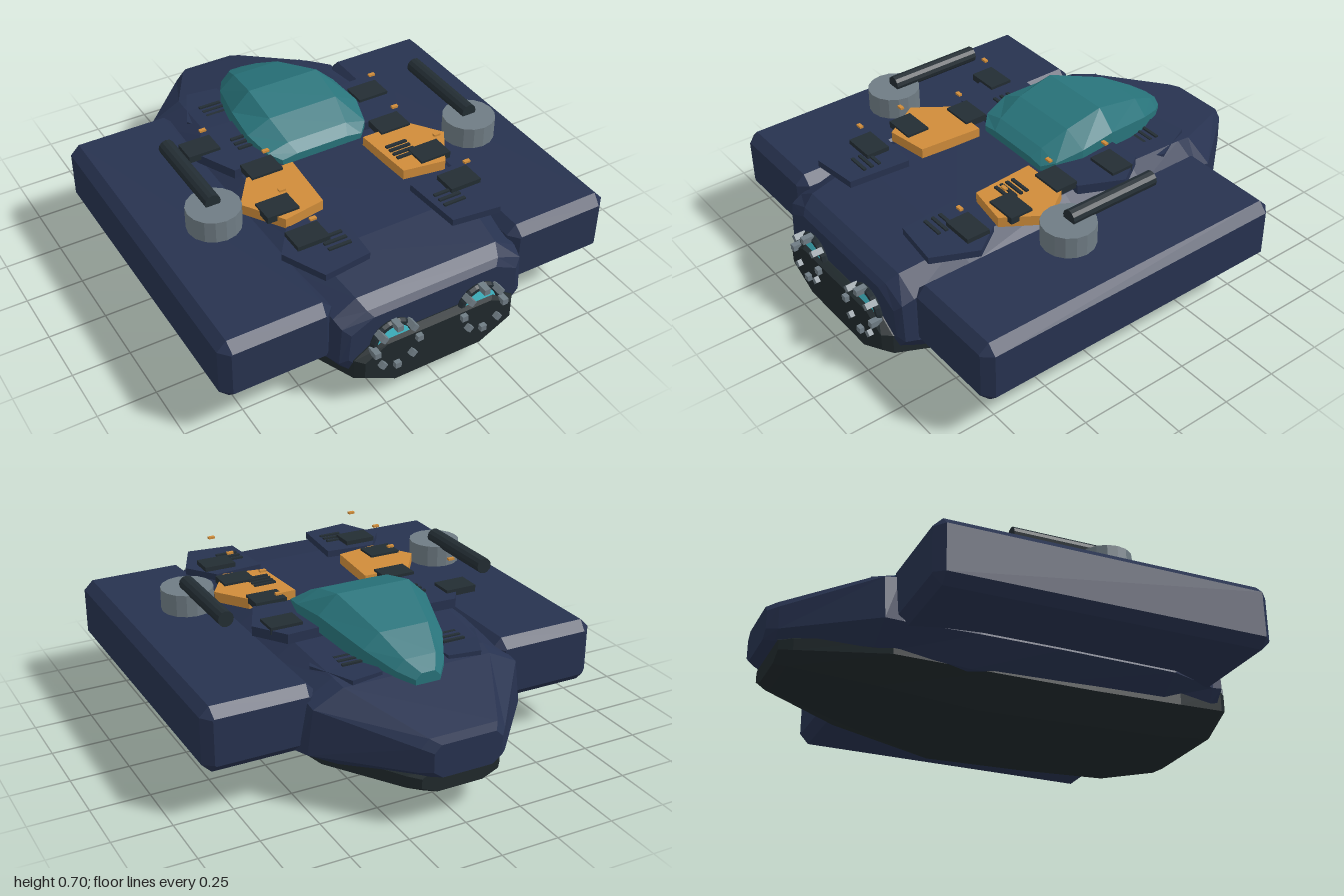
import * as THREE from 'three';

const mat = (name, color) => {
  const m = new THREE.MeshStandardMaterial({ color, flatShading: true });
  m.name = name;
  return m;
};

// Lofts mirrored half profiles ([x, y] from bottom to top) along z, with capped ends
function loft(sections) {
  const pos = [], idx = [];
  const n = sections[0].half.length * 2;
  for (const { z, half } of sections) {
    const ring = [...half, ...half.slice().reverse().map(([x, y]) => [-x, y])];
    for (const [x, y] of ring) pos.push(x, y, z);
  }
  const last = (sections.length - 1) * n;
  for (let s = 0; s < last; s += n) {
    for (let j = 0; j < n; j++) {
      const k = (j + 1) % n;
      idx.push(s + j, s + k, s + n + j, s + k, s + n + k, s + n + j);
    }
  }
  for (let j = 1; j < n - 1; j++) {
    idx.push(0, j + 1, j, last, last + j, last + j + 1);
  }
  const g = new THREE.BufferGeometry();
  g.setAttribute('position', new THREE.Float32BufferAttribute(pos, 3));
  g.setIndex(idx);
  const flat = g.toNonIndexed();
  flat.computeVertexNormals();
  return flat;
}

export function createModel() {
  const root = new THREE.Group();
  root.name = 'spacecraft';
  const navy = mat('navy hull', 0x27324f);
  const belly = mat('dark belly', 0x20292c);
  const dark = mat('dark fittings', 0x232d33);
  const grey = mat('grey metal', 0x6f7c84);
  const teal = mat('teal canopy', 0x28737a);
  const orange = mat('orange panel', 0xcf8c3a);
  const cyan = mat('cyan glow', 0x45c3d2);

  const add = (name, geo, material, x = 0, y = 0, z = 0, parent = root) => {
    const m = new THREE.Mesh(geo, material);
    m.name = name;
    m.position.set(x, y, z);
    parent.add(m);
    return m;
  };

  // Main hull: z, bottom width/y, widest width/y, shoulder width/y, top width/y
  const hull = [
    [-1.0, 0.11, 0.23, 0.15, 0.26, 0.15, 0.34, 0.12, 0.37],
    [-0.96, 0.14, 0.22, 0.19, 0.25, 0.185, 0.35, 0.15, 0.385],
    [-0.62, 0.36, 0.16, 0.485, 0.23, 0.46, 0.42, 0.33, 0.485],
    [-0.55, 0.38, 0.15, 0.5, 0.22, 0.46, 0.43, 0.34, 0.5],
    [-0.25, 0.44, 0.1, 0.55, 0.2, 0.45, 0.47, 0.36, 0.53],
    [0.1, 0.44, 0.11, 0.55, 0.2, 0.45, 0.48, 0.37, 0.535],
    [0.62, 0.44, 0.13, 0.54, 0.2, 0.44, 0.47, 0.35, 0.52],
    [0.87, 0.38, 0.15, 0.43, 0.22, 0.42, 0.42, 0.32, 0.48],
    [0.92, 0.36, 0.16, 0.42, 0.23, 0.41, 0.4, 0.3, 0.445],
    [0.94, 0.33, 0.18, 0.39, 0.25, 0.38, 0.37, 0.28, 0.42],
  ].map(([z, a, b, c, d, e, f, g, h]) => ({ z, half: [[a, b], [c, d], [e, f], [g, h]] }));
  add('hull', loft(hull), navy);

  // Belly keel: z, bottom width/y, side width, side low/high y, top width/y
  const keel = [
    [-0.95, 0.1, 0.14, 0.17, 0.17, 0.21, 0.12, 0.24],
    [-0.9, 0.13, 0.125, 0.21, 0.16, 0.21, 0.15, 0.24],
    [-0.55, 0.22, 0.065, 0.39, 0.13, 0.19, 0.3, 0.24],
    [-0.15, 0.29, 0, 0.445, 0.1, 0.15, 0.36, 0.24],
    [0.3, 0.29, 0.012, 0.445, 0.1, 0.15, 0.36, 0.24],
    [0.7, 0.28, 0.028, 0.44, 0.11, 0.17, 0.34, 0.25],
    [0.945, 0.23, 0.075, 0.37, 0.15, 0.24, 0.27, 0.305],
    [0.98, 0.2, 0.09, 0.34, 0.165, 0.24, 0.24, 0.295],
  ].map(([z, a, b, c, d, e, f, g]) => ({ z, half: [[a, b], [c, d], [c, e], [f, g]] }));
  add('bellyKeel', loft(keel), belly);

  // Faceted canopy: z, side width, base y, low side y, high side y, top width, top y
  const canopy = [
    [-0.695, 0.055, 0.43, 0.45, 0.485, 0.03, 0.51],
    [-0.63, 0.11, 0.43, 0.46, 0.51, 0.07, 0.55],
    [-0.5, 0.18, 0.45, 0.49, 0.56, 0.11, 0.62],
    [-0.25, 0.25, 0.5, 0.55, 0.62, 0.165, 0.7],
    [-0.08, 0.265, 0.5, 0.56, 0.61, 0.16, 0.66],
    [0.04, 0.235, 0.5, 0.55, 0.58, 0.14, 0.605],
    [0.085, 0.19, 0.5, 0.54, 0.56, 0.12, 0.57],
  ].map(([z, w, b, l, h, t, y]) => ({ z, half: [[w * 0.8, b], [w, l], [w, h], [t, y]] }));
  add('canopy', loft(canopy), teal);

  // Chamfered side pods
  const podSection = (z, inset) => {
    const w = 0.24 - inset, h = 0.14 - inset, c = inset ? 0.005 : 0.04;
    return { z, half: [[w - c, -h], [w, c - h], [w, h - c], [w - c, h]] };
  };
  const pod = loft([podSection(-0.57, 0.04), podSection(-0.53, 0), podSection(0.835, 0), podSection(0.875, 0.04)]);

  // Five-sided deck plates as [x, z] outlines on the left side
  const plates = [
    { y: 0.535, h: 0.03, m: navy, p: [[0.39, 0.47], [0.485, 0.6], [0.4, 0.785], [0.19, 0.76], [0.17, 0.49]] },
    { y: 0.53, h: 0.045, m: orange, p: [[0.385, 0.13], [0.485, 0.27], [0.375, 0.44], [0.19, 0.41], [0.17, 0.13]] },
    { y: 0.53, h: 0.042, m: navy, p: [[0.39, -0.26], [0.485, -0.12], [0.4, 0.06], [0.19, 0.04], [0.17, -0.25]] },
    { y: 0.475, h: 0.03, m: navy, p: [[0.29, -0.62], [0.15, -0.6], [0.12, -0.32], [0.29, -0.26], [0.38, -0.43]] },
  ];

  const bolt = new THREE.BoxGeometry(0.026, 0.026, 0.05);
  for (const s of [1, -1]) {
    const side = new THREE.Group();
    side.name = s > 0 ? 'leftSide' : 'rightSide';
    root.add(side);
    add('sidePod', pod, navy, s * 0.645, 0.35, 0, side);

    for (const { y, h, m, p } of plates) {
      const shape = new THREE.Shape(p.map(([x, z]) => new THREE.Vector2(s * x, -z)));
      const g = new THREE.ExtrudeGeometry(shape, { depth: h, bevelEnabled: false }).rotateX(-Math.PI / 2);
      add('deckPlate', g, m, 0, y, 0, side);
    }

    // Turret with forward barrel
    add('turretBase', new THREE.CylinderGeometry(0.112, 0.112, 0.095, 16), grey, s * 0.605, 0.577, 0.275, side);
    add('turretBarrel', new THREE.CylinderGeometry(0.034, 0.034, 0.42, 12).rotateX(Math.PI / 2), dark,
      s * 0.605, 0.638, 0.065, side);

    // Engine with glowing disc, ring and bolts
    const engine = new THREE.Group();
    engine.name = 'engine';
    engine.position.set(s * 0.2, 0.275, 0.95);
    side.add(engine);
    add('engineGlow', new THREE.CylinderGeometry(0.075, 0.075, 0.02, 20).rotateX(Math.PI / 2), cyan, 0, 0, 0, engine);
    add('engineRing', new THREE.TorusGeometry(0.088, 0.016, 6, 24), dark, 0, 0, 0, engine);
    for (let i = 0; i < 8; i++) {
      const a = (i * Math.PI) / 4;
      const b = add('engineBolt', bolt, grey, 0.096 * Math.cos(a), 0.096 * Math.sin(a), 0.025, engine);
      b.rotation.z = a;
    }
  }

  // Deck equipment boxes, each with a small light hovering above
  const equipment = [
    [-0.457, -0.147, -0.455], [-0.3, 0.105, -0.3], [-0.367, 0.357, -0.365], [-0.352, 0.567, -0.35],
    [0.365, -0.147, 0.36], [0.317, 0.105, 0.315], [0.35, 0.357, 0.355], [0.352, 0.567, 0.355],
  ];
  for (const [x, z, lx] of equipment) {
    add('equipmentBox', new THREE.BoxGeometry(0.142, 0.03, 0.104), dark, x, 0.57, z);
    add('hoverLight', new THREE.BoxGeometry(0.028, 0.009, 0.016), orange, lx, 0.687, z + 0.036);
  }

  // Vent slats on the plates: x, y, first z, count
  const vents = [
    [-0.27, 0.567, 0.6, 3], [0.26, 0.567, 0.6, 3], [0.26, 0.577, 0.245, 4],
    [-0.27, 0.574, -0.13, 3], [-0.24, 0.508, -0.49, 3], [0.22, 0.508, -0.49, 3],
  ];
  for (const [x, y, z, count] of vents) {
    for (let i = 0; i < count; i++) {
      add('ventSlat', new THREE.BoxGeometry(0.1, 0.012, 0.014), dark, x, y, z + i * 0.035 * (count > 3 ? 0.8 : 1));
    }
  }
  return root;
}
